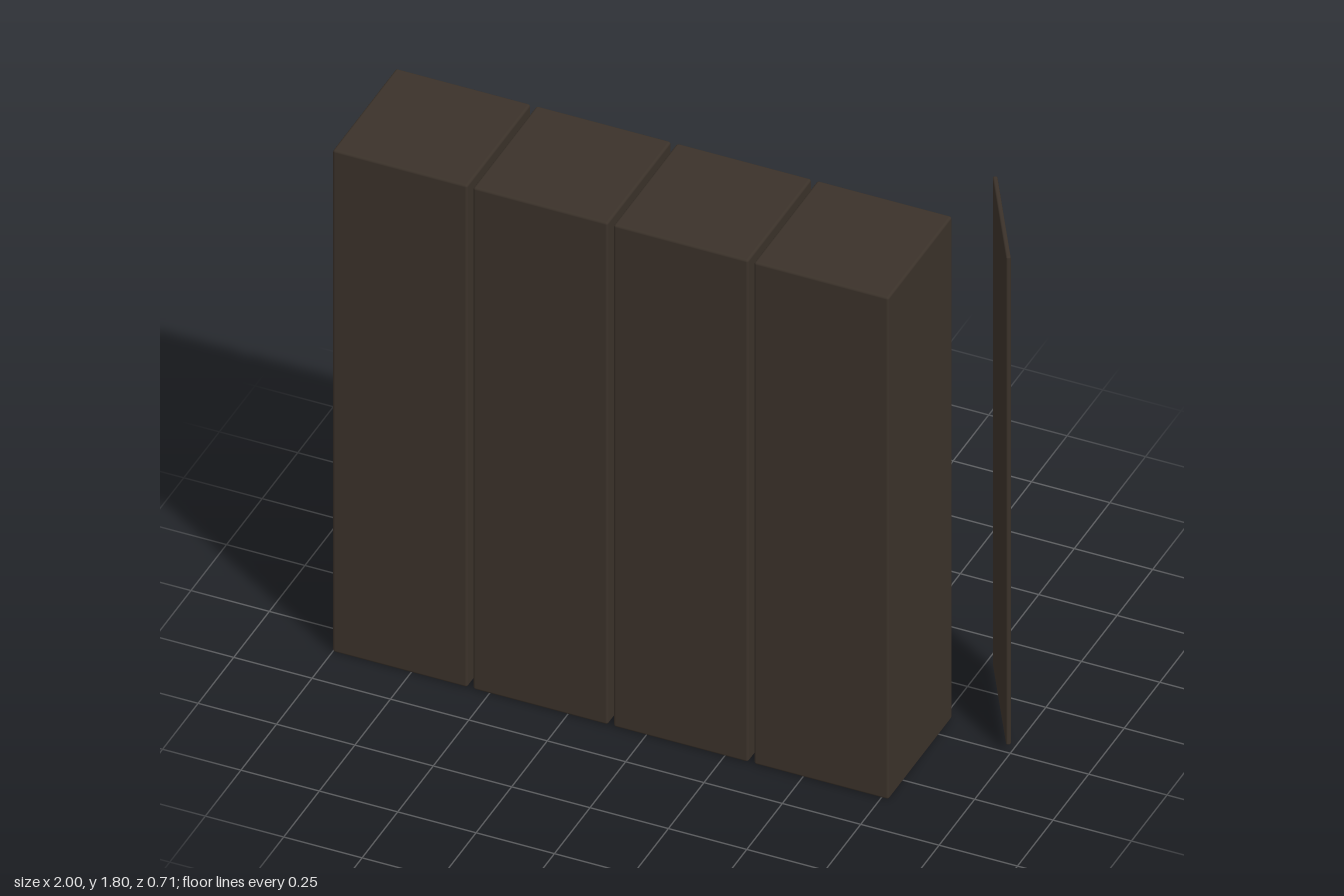
import * as THREE from 'three';
import { RoundedBoxGeometry } from 'three/addons/geometries/RoundedBoxGeometry.js';

export function createModel() {
  const model = new THREE.Group();
  model.name = 'lockerRow';

  const paint = new THREE.MeshStandardMaterial({ color: 0x3b322a });
  paint.name = 'dark brown paint';

  function block(parent, name, size, position, radius) {
    const mesh = new THREE.Mesh(new RoundedBoxGeometry(...size, 2, radius), paint);
    mesh.name = name;
    mesh.position.set(...position);
    parent.add(mesh);
    return mesh;
  }

  // Four lockers side by side, with their doors facing -z
  const width = 0.43, height = 1.8, pitch = 0.448;
  const zFace = -0.09, zRear = 0.358;
  for (let i = 0; i < 4; i++) {
    const locker = new THREE.Group();
    locker.name = `locker${i + 1}`;
    locker.position.x = -1 + width / 2 + i * pitch;
    model.add(locker);

    block(locker, 'cabinet', [width, height, zRear - zFace], [0, height / 2, (zRear + zFace) / 2], 0.008);

    // Three raised vent slats near the top
    for (let v = 0; v < 3; v++) {
      block(locker, 'ventSlat', [0.27, 0.018, 0.018], [0, 1.53 - v * 0.05, zFace - 0.001], 0.006);
    }

    // Upright door handle
    block(locker, 'handle', [0.016, 0.11, 0.02], [0.15, 0.9, zFace - 0.007], 0.007);
  }

  // Loose door panel standing ajar beside the row
  const door = block(model, 'openDoor', [0.405, 1.75, 0.014], [0.892, 0.9, -0.178], 0.005);
  door.rotation.y = -Math.PI / 3;

  return model;
}
